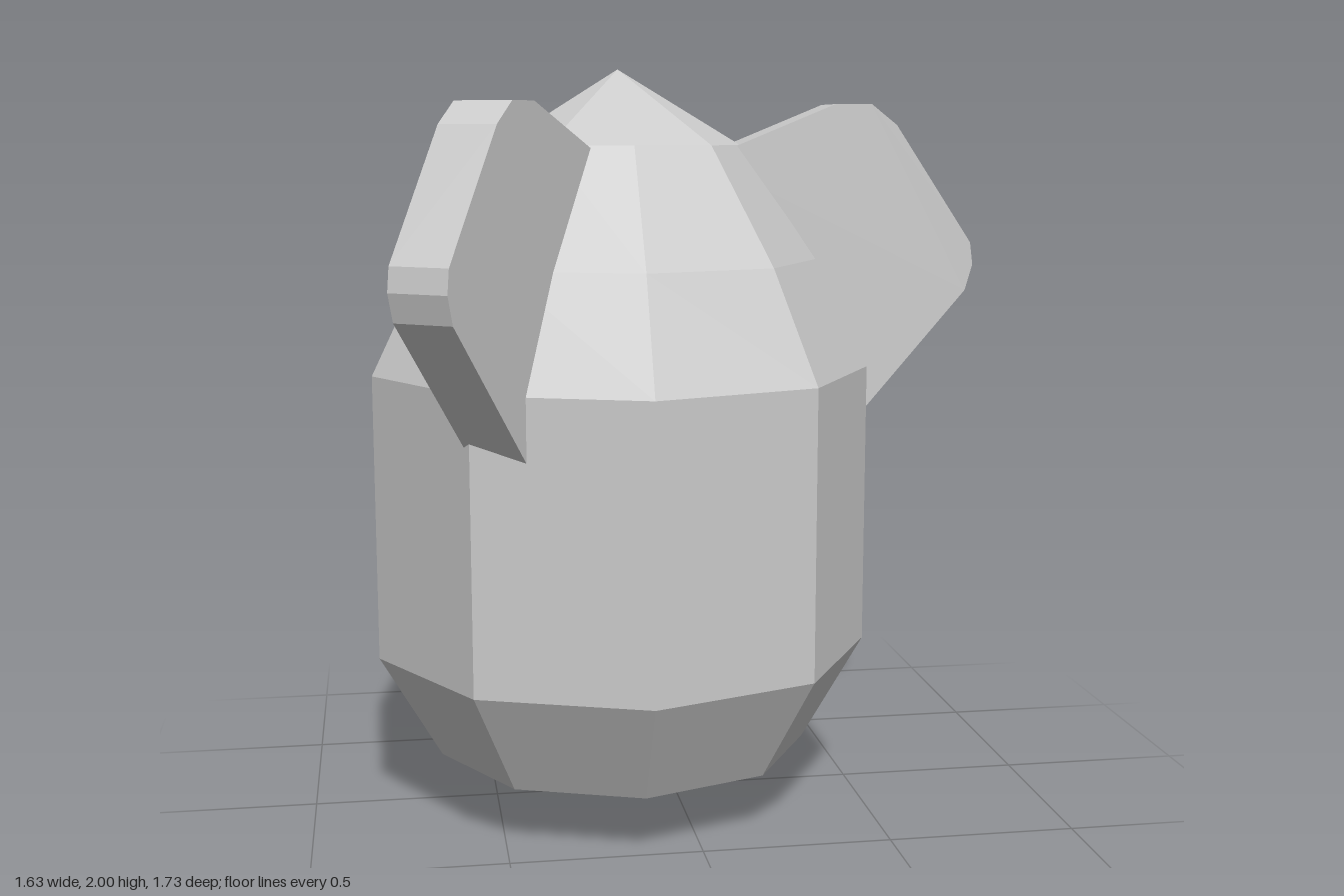
import * as THREE from 'three';

const material = new THREE.MeshStandardMaterial({ color: 0xcccccc, flatShading: true });

export function createModel() {
  const model = new THREE.Group();
  model.name = 'finnedPod';

  // Everything is arranged around the body's vertical axis
  const pod = new THREE.Group();
  pod.name = 'pod';
  pod.position.set(-0.153, 0, 0.025);
  model.add(pod);

  // Nine-sided body, pointed at both ends
  const profile = [
    [0, 0], [0.508, 0.165], [0.673, 0.45], [0.673, 1.21],
    [0.53, 1.5], [0.325, 1.803], [0, 2],
  ].map(([r, y]) => new THREE.Vector2(r, y));
  const body = new THREE.Mesh(new THREE.LatheGeometry(profile, 9), material);
  body.name = 'body';
  pod.add(body);

  // Fin outline: x runs outward from the axis, the inner end is buried in the body
  const thickness = 0.16;
  const outline = new THREE.Shape([
    [0.22, 1.765], [0.5, 0.895], [0.945, 1.41], [0.965, 1.48], [0.957, 1.54],
    [0.745, 1.855], [0.675, 1.91], [0.575, 1.91],
  ].map(([x, y]) => new THREE.Vector2(x, y)));
  const finGeometry = new THREE.ExtrudeGeometry(outline, { depth: thickness, bevelEnabled: false });
  finGeometry.translate(0, 0, -thickness / 2);

  // Three fins around the upper body, angles measured from +x towards +z
  const fins = { leftFin: 0, frontRightFin: 125, backRightFin: 243 };
  for (const [name, angle] of Object.entries(fins)) {
    const fin = new THREE.Mesh(finGeometry, material);
    fin.name = name;
    fin.rotation.y = -THREE.MathUtils.degToRad(angle);
    pod.add(fin);
  }

  return model;
}
